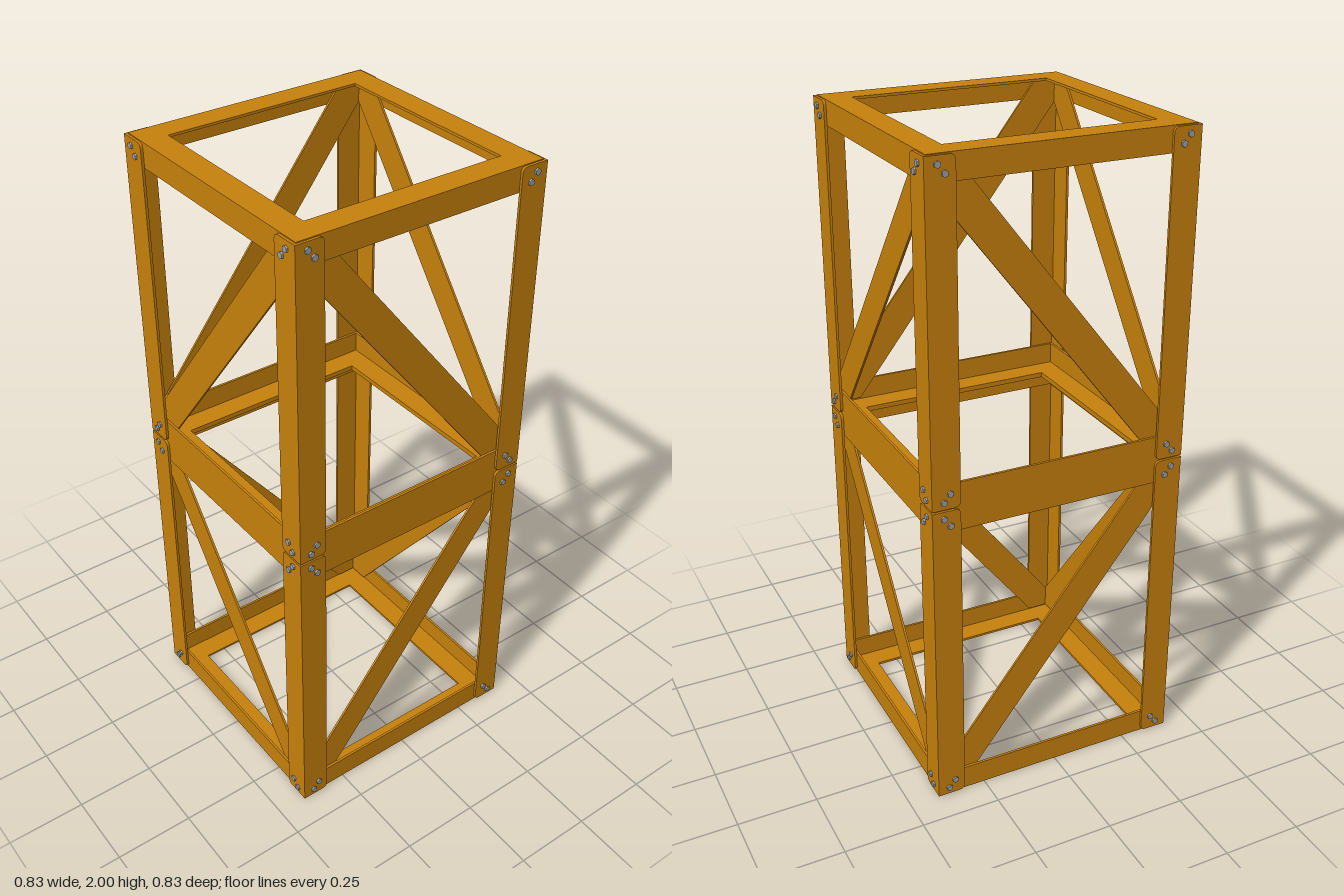
import * as THREE from 'three';

const H = 0.4;        // half width of the frame
const T = 0.008;      // sheet thickness
const LEG = 0.08;     // leg width of the angle sections
const paint = new THREE.MeshStandardMaterial({ color: 0xc8820c });
const steel = new THREE.MeshStandardMaterial({ color: 0xa0a4a8, flatShading: true });

function add(parent, name, geometry, material = paint) {
  const mesh = new THREE.Mesh(geometry, material);
  mesh.name = name;
  parent.add(mesh);
  return mesh;
}

function extrude(shape, depth) {
  return new THREE.ExtrudeGeometry(shape, { depth, bevelEnabled: false, curveSegments: 4 });
}

function square(path, h) {
  path.moveTo(-h, -h);
  path.lineTo(h, -h);
  path.lineTo(h, h);
  path.lineTo(-h, h);
  path.closePath();
  return path;
}

// Square ring lying flat, from y0 up to y0 + height
function ring(inner, height, y0) {
  const shape = square(new THREE.Shape(), H);
  shape.holes.push(square(new THREE.Path(), inner));
  return extrude(shape, height).rotateX(-Math.PI / 2).translate(0, y0, 0);
}

// Horizontal angle frame: upright web outside, flat flange at its top or bottom
function angleFrame(name, y0, flangeOnTop) {
  const frame = new THREE.Group();
  frame.name = name;
  const height = 0.076;
  add(frame, 'web', ring(H - T, height, y0));
  add(frame, 'flange', ring(H - LEG, T, flangeOnTop ? y0 + height - T : y0));
  return frame;
}

// One leg of a corner post; the inner corners are rounded
function postLeg(outer) {
  const inner = H - LEG, y0 = 0.003, y1 = 0.997, r = 0.018;
  const s = new THREE.Shape();
  s.moveTo(outer, y0);
  s.lineTo(outer, y1);
  s.lineTo(inner + r, y1);
  s.quadraticCurveTo(inner, y1, inner, y1 - r);
  s.lineTo(inner, y0 + r);
  s.quadraticCurveTo(inner, y0, inner + r, y0);
  s.closePath();
  return s;
}

// Flat diagonal bar trimmed to the corners of the bay
function braceShape(sign) {
  const half = [[0.316, 0.485], [0.385, 0.485], [0.385, 0.411]];
  const points = [...half, ...half.map(([x, y]) => [-x, -y])];
  return new THREE.Shape(points.map(([x, y]) => new THREE.Vector2(sign * x, y + 0.5)));
}

// One face of a bay: two post legs, a brace behind them and the corner bolts
function bayFace(sign) {
  const face = new THREE.Group();
  for (const side of [-1, 1]) {
    // Only one of the two legs at a corner covers the edge
    const outline = postLeg(side > 0 ? H + T : H).getPoints(4)
      .map((p) => new THREE.Vector2(side * p.x, p.y));
    add(face, side > 0 ? 'leftPostLeg' : 'rightPostLeg',
      extrude(new THREE.Shape(outline), T).translate(0, 0, H));

    for (const end of [-1, 1]) {
      for (const [x, y] of [[0.372, 0.474], [0.352, 0.449]]) {
        const bolt = add(face, 'bolt', new THREE.CylinderGeometry(0.01, 0.01, 0.015, 6), steel);
        bolt.rotation.x = Math.PI / 2;
        bolt.position.set(side * x, 0.5 + end * y, H + 0.0065);
      }
    }
  }
  add(face, 'diagonalBrace', extrude(braceShape(sign), T - 0.001).translate(0, 0, H - 2 * T));
  return face;
}

export function createModel() {
  const tower = new THREE.Group();
  tower.name = 'trussTower';
  for (let level = 0; level < 2; level++) {
    const bay = new THREE.Group();
    bay.name = level ? 'upperBay' : 'lowerBay';
    bay.position.y = level;
    bay.add(angleFrame('bottomFrame', 0, false));
    bay.add(angleFrame('topFrame', 0.924, true));
    ['front', 'left', 'back', 'right'].forEach((name, i) => {
      // Braces alternate in direction around the tower and between bays
      const face = bayFace((i + level) % 2 ? -1 : 1);
      face.name = name + 'Face';
      face.rotation.y = i * Math.PI / 2;
      bay.add(face);
    });
    tower.add(bay);
  }
  return tower;
}
